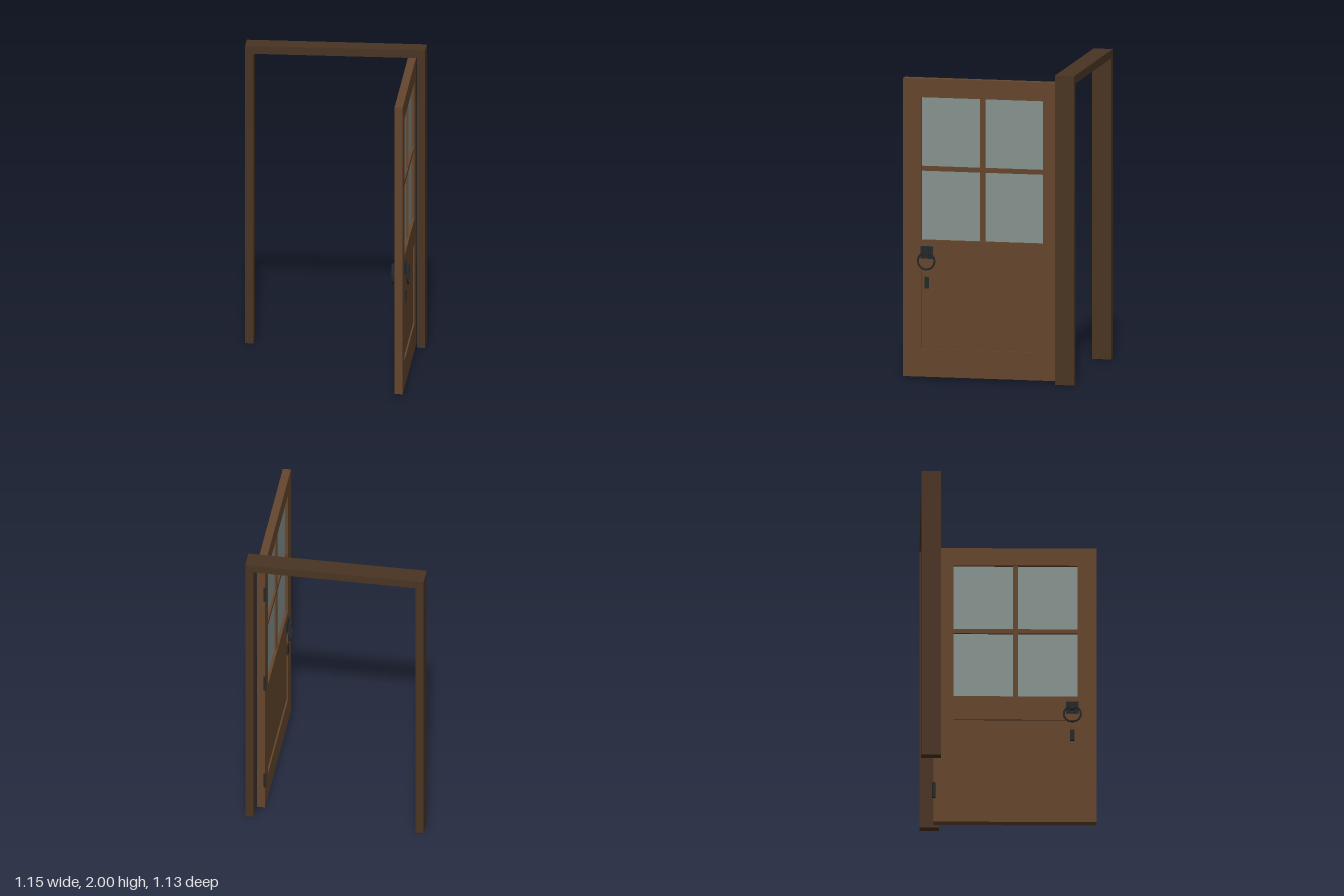
import * as THREE from 'three';

const material = (name, color, extra = {}) =>
  Object.assign(new THREE.MeshStandardMaterial({ color, ...extra }), { name });

export function createModel() {
  const frameWood = material('darkFrameWood', 0x4a3423);
  const doorWood = material('doorWood', 0x65462d);
  const glass = material('paleGlass', 0x87938f);
  const iron = material('blackIron', 0x25282a);
  iron.flatShading = true;

  const model = new THREE.Group();
  model.name = 'openDoor';

  const add = (parent, name, geometry, mat, x = 0, y = 0, z = 0) => {
    const mesh = new THREE.Mesh(geometry, mat);
    mesh.name = name;
    mesh.position.set(x, y, z);
    parent.add(mesh);
    return mesh;
  };
  const rectangle = (PathType, u0, u1, v0, v1) =>
    new PathType([[u0, v0], [u1, v0], [u1, v1], [u0, v1]].map(p => new THREE.Vector2(...p)));

  // Door frame: two jambs and a head in one U-shaped outline
  const W = 0.577, IN = 0.525, HEAD = 1.947;
  const outline = new THREE.Shape(
    [[-W, 0], [-IN, 0], [-IN, HEAD], [IN, HEAD], [IN, 0], [W, 0], [W, 2], [-W, 2]]
      .map(p => new THREE.Vector2(...p)));
  add(model, 'doorFrame', new THREE.ExtrudeGeometry(outline, { depth: 0.125, bevelEnabled: false }),
    frameWood, 0, 0, -0.565);

  // Door leaf, swung open by 90 degrees: stiles and rails with two openings
  const door = new THREE.Group();
  door.name = 'door';
  model.add(door);
  const MID = 0.491, THICK = 0.052;
  const Z0 = -0.35, Z1 = 0.445, openZ = (Z0 + Z1) / 2, openW = Z1 - Z0;
  const leaf = rectangle(THREE.Shape, -0.475, 0.565, 0.015, 1.943);
  leaf.holes.push(rectangle(THREE.Path, Z0, Z1, 0.195, 0.735));
  leaf.holes.push(rectangle(THREE.Path, Z0, Z1, 0.9, 1.822));
  const leafGeometry = new THREE.ExtrudeGeometry(leaf, { depth: THICK, bevelEnabled: false });
  leafGeometry.rotateY(-Math.PI / 2);
  add(door, 'stilesAndRails', leafGeometry, doorWood, MID + THICK / 2);

  // Recessed lower panel, glazing and glazing bars
  add(door, 'lowerPanel', new THREE.BoxGeometry(0.032, 0.54, openW), doorWood, MID, 0.465, openZ);
  add(door, 'windowGlass', new THREE.BoxGeometry(0.012, 0.922, openW), glass, MID, 1.361, openZ);
  add(door, 'verticalBar', new THREE.BoxGeometry(0.04, 0.922, 0.034), doorWood, MID, 1.361, openZ);
  for (const side of [-1, 1]) {
    const length = (openW - 0.034) / 2;
    add(door, 'horizontalBar', new THREE.BoxGeometry(0.04, 0.03, length), doorWood,
      MID, 1.361, openZ + side * (0.017 + length / 2));
  }

  // Hinges on the inner corner of the hinge stile
  for (const y of [0.235, 1.005, 1.715]) {
    add(door, 'hinge', new THREE.CylinderGeometry(0.011, 0.011, 0.105, 10), iron, 0.464, y, -0.475);
  }

  // Ring handle and keyhole plate on each face
  for (const side of [-1, 1]) {
    const handle = new THREE.Group();
    handle.name = side > 0 ? 'outerHandle' : 'innerHandle';
    handle.position.set(MID + side * THICK / 2, 0, 0.41);
    door.add(handle);
    add(handle, 'backPlate', new THREE.BoxGeometry(0.009, 0.08, 0.082), iron, side * 0.0045, 0.82, 0);
    add(handle, 'ringMount', new THREE.BoxGeometry(0.024, 0.034, 0.034), iron, side * 0.02, 0.818, 0);
    const ring = new THREE.TorusGeometry(0.055, 0.0065, 8, 16);
    ring.rotateY(Math.PI / 2);
    add(handle, 'pullRing', ring, iron, side * 0.023, 0.768, 0);
    add(handle, 'keyholePlate', new THREE.BoxGeometry(0.009, 0.074, 0.03), iron, side * 0.0045, 0.625, 0);
  }

  return model;
}
